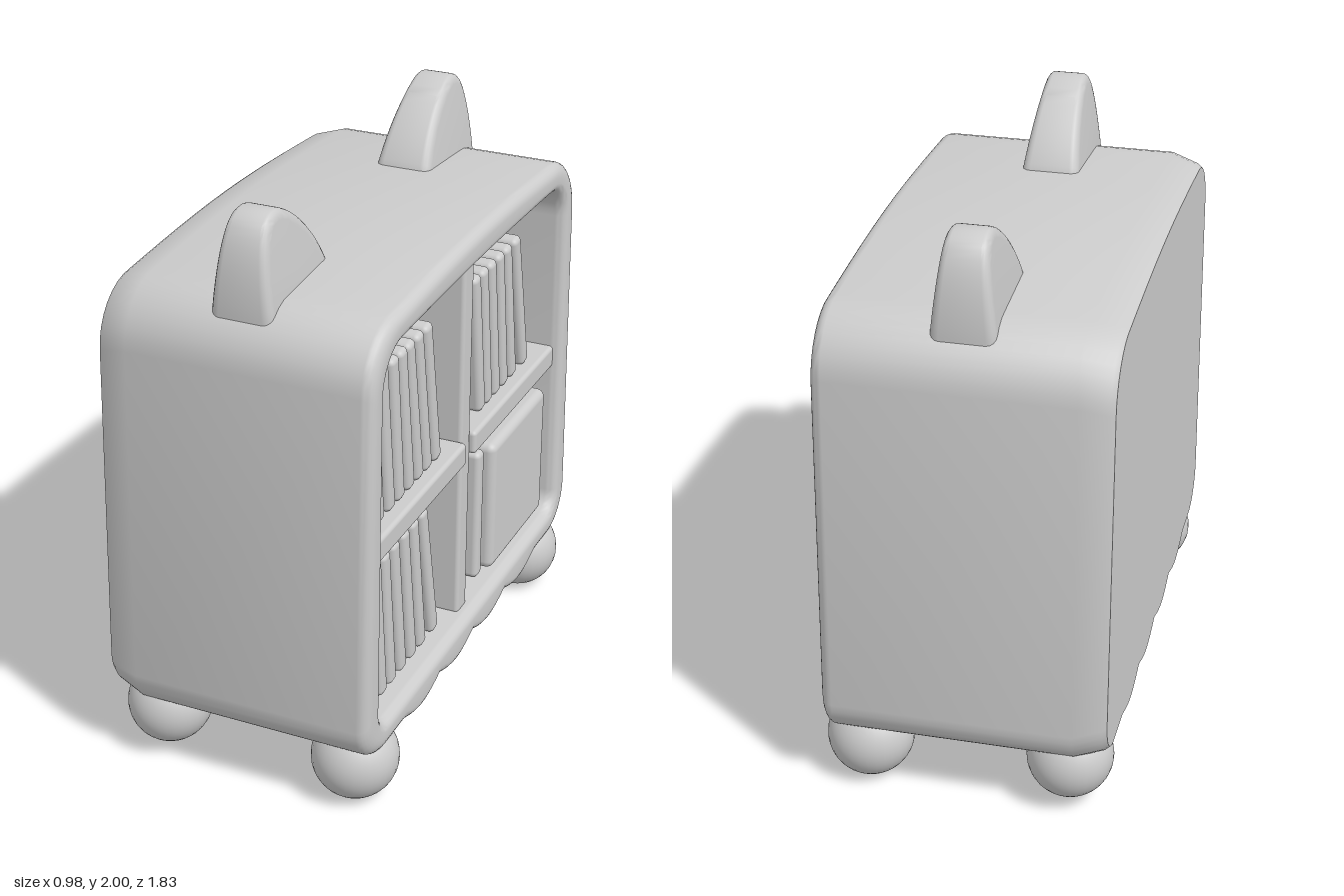
import * as THREE from 'three';
import { toCreasedNormals } from 'three/addons/utils/BufferGeometryUtils.js';
import { RoundedBoxGeometry } from 'three/addons/geometries/RoundedBoxGeometry.js';

const grey = new THREE.MeshStandardMaterial({ color: 0xcccccc });
grey.name = 'plain grey';

function add(parent, name, geometry, x = 0, y = 0, z = 0) {
  const mesh = new THREE.Mesh(geometry, grey);
  mesh.name = name;
  mesh.position.set(x, y, z);
  parent.add(mesh);
  return mesh;
}

// Rounded, slightly tapering outline in the z-y plane, counter-clockwise from +x.
// wB, wT: half widths at bottom and top; rB, rT: corner radii; wave: scallop depth.
function outline({ wB, wT, y0, y1, rB, rT, wave = 0, bulge = 0 }) {
  const pts = [];
  const corner = (cu, cv, r, start) => {
    for (let i = 0; i <= 8; i++) {
      const a = start + (i / 8) * Math.PI / 2;
      pts.push([cu + r * Math.cos(a), cv + r * Math.sin(a)]);
    }
  };
  const side = (n, f) => { for (let i = 1; i < n; i++) pts.push(f(i / n)); };
  const b = wB - rB, t = wT - rT;
  corner(b, y0 + rB, rB, -Math.PI / 2);
  corner(t, y1 - rT, rT, 0);
  side(12, (s) => [t * (1 - 2 * s), y1 + bulge * Math.sin(Math.PI * s)]);
  corner(-t, y1 - rT, rT, Math.PI / 2);
  corner(-b, y0 + rB, rB, Math.PI);
  side(64, (s) => {
    const u = b * (2 * s - 1);
    const scallop = Math.abs(u) < 0.6 ? Math.abs(Math.sin(Math.PI * u / 0.3)) : 0;
    return [u, y0 - wave * scallop];
  });
  return pts;
}

// Hollow case: one skin running round the outside, over the rim and into the inside.
function caseGeometry() {
  const outer = (d) => outline({ wB: 0.915 - d, wT: 0.88 - d, y0: 0.215 + d, y1: 1.728 - d, rB: 0.14, rT: 0.2, wave: 0.035, bulge: 0.027 });
  const inner = (d) => outline({ wB: 0.8 + d, wT: 0.78 + d, y0: 0.31 - d, y1: 1.63 + d, rB: 0.07 + d, rT: 0.13 + d, bulge: 0.012 });
  const centre = outer(0).map(() => [0, 0.97]);
  const rings = [[-0.49, centre], [-0.49, outer(0.035)], [-0.475, outer(0.025)], [-0.38, outer(0)]];
  for (let i = 0; i <= 6; i++) {
    const a = (i / 6) * Math.PI / 2;
    rings.push([0.42 + 0.04 * Math.sin(a), outer(0.04 * (1 - Math.cos(a)))]);
  }
  for (let i = 0; i <= 6; i++) {
    const a = (i / 6) * Math.PI / 2;
    rings.push([0.42 + 0.04 * Math.cos(a), inner(0.035 * (1 - Math.sin(a)))]);
  }
  rings.push([-0.37, inner(0)], [-0.4, inner(-0.03)], [-0.4, centre]);

  const n = centre.length, pos = [], index = [];
  rings.forEach(([x, pts]) => pts.forEach(([u, v]) => pos.push(x, v, -u)));
  for (let i = 0; i < rings.length - 1; i++) {
    for (let j = 0; j < n; j++) {
      const a = i * n + j, b = i * n + (j + 1) % n, c = a + n, d = b + n;
      if (i > 0) index.push(a, b, c);
      if (i < rings.length - 2) index.push(b, d, c);
    }
  }
  const g = new THREE.BufferGeometry();
  g.setAttribute('position', new THREE.Float32BufferAttribute(pos, 3));
  g.setIndex(index);
  return toCreasedNormals(g, 0.7);
}

// Curved, pointed ear, thinner towards its tip
function earGeometry(s) {
  const e = 0.03;
  const shape = new THREE.Shape();
  shape.moveTo(s * 0.42, 1.66);
  shape.lineTo(s * 0.785, 1.66);
  shape.bezierCurveTo(s * 0.79, 1.75, s * 0.78, 1.88, s * 0.74, 1.94);
  shape.bezierCurveTo(s * 0.72, 1.97, s * 0.685, 1.975, s * 0.65, 1.96);
  shape.bezierCurveTo(s * 0.56, 1.92, s * 0.46, 1.82, s * 0.42, 1.72);
  shape.closePath();
  const g = new THREE.ExtrudeGeometry(shape, { depth: 0.14, bevelSize: e, bevelThickness: e, bevelSegments: 4, curveSegments: 10 });
  g.translate(0, 0, -0.07);
  g.rotateY(-Math.PI / 2);
  const p = g.attributes.position;
  for (let i = 0; i < p.count; i++) {
    p.setX(i, p.getX(i) * (1.05 - 1.2 * Math.max(0, p.getY(i) - 1.69)) - 0.01);
  }
  return toCreasedNormals(g, 0.7);
}

// Row of leaning books: z of each foot and of each top
function addBooks(parent, name, y0, y1, feet, tops) {
  const row = new THREE.Group();
  row.name = name;
  feet.forEach((z0, i) => {
    const dz = tops[i] - z0, dy = y1 - y0;
    const g = new RoundedBoxGeometry(0.72, Math.hypot(dz, dy), 0.058, 3, 0.02);
    add(row, 'book', g, 0.03, (y0 + y1) / 2, (z0 + tops[i]) / 2).rotation.x = Math.atan2(dz, dy);
  });
  parent.add(row);
}

export function createModel() {
  const model = new THREE.Group();
  model.name = 'bookcase';
  add(model, 'case', caseGeometry());

  // Divider and shelves
  add(model, 'divider', new RoundedBoxGeometry(0.82, 1.34, 0.082, 3, 0.015), 0, 0.97, 0);
  for (const s of [1, -1]) {
    add(model, 'shelf', new RoundedBoxGeometry(0.83, 0.085, 0.765, 3, 0.015), 0.015, 0.942, s * 0.42);
    add(model, 'ear', earGeometry(s));
    // Round feet, the rear pair set a little higher
    add(model, 'frontFoot', new THREE.SphereGeometry(0.147, 32, 20), 0.34, 0.147, s * 0.742);
    add(model, 'rearFoot', new THREE.SphereGeometry(0.145, 32, 20), -0.345, 0.175, s * 0.75);
  }

  // Shelf contents
  addBooks(model, 'upperLeftBooks', 0.985, 1.515,
    [0.645, 0.56, 0.485, 0.405, 0.33, 0.26, 0.185],
    [0.705, 0.625, 0.545, 0.48, 0.42, 0.35, 0.28]);
  addBooks(model, 'upperRightBooks', 0.985, 1.515,
    [-0.21, -0.275, -0.35, -0.425, -0.505, -0.62],
    [-0.135, -0.205, -0.275, -0.35, -0.42, -0.5]);
  addBooks(model, 'lowerLeftBooks', 0.318, 0.845,
    [0.7, 0.615, 0.54, 0.455, 0.37, 0.29, 0.185],
    [0.74, 0.67, 0.6, 0.525, 0.445, 0.37, 0.295]);
  addBooks(model, 'uprightBook', 0.315, 0.82, [-0.21], [-0.21]);
  add(model, 'storageBox', new RoundedBoxGeometry(0.74, 0.505, 0.515, 4, 0.03), 0.05, 0.573, -0.508);
  return model;
}
